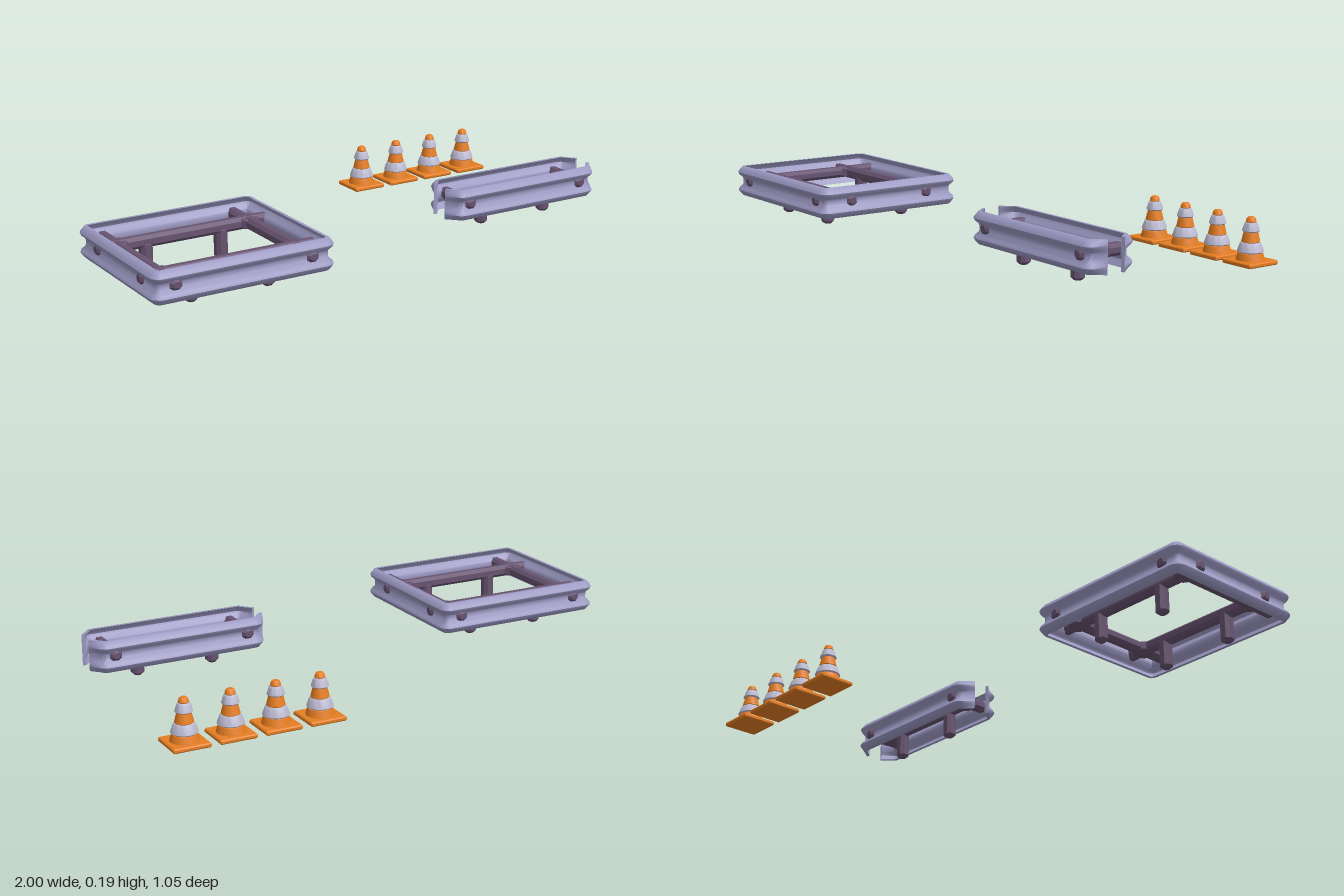
import * as THREE from 'three';
import { toCreasedNormals } from 'three/addons/utils/BufferGeometryUtils.js';

const mat = (color) => new THREE.MeshStandardMaterial({ color });

function addMesh(parent, geometry, material, name, x = 0, y = 0, z = 0) {
  const mesh = new THREE.Mesh(geometry, material);
  mesh.name = name;
  mesh.position.set(x, y, z);
  parent.add(mesh);
  return mesh;
}

// Bar with chamfered edges and ends, centred, running along 'x', 'y' or 'z'
function bar(w, h, length, axis, chamfer = 0.012, bevel = 0.01) {
  const a = w / 2, b = h / 2, c = chamfer;
  const shape = new THREE.Shape([
    [a, -b + c], [a, b - c], [a - c, b], [-a + c, b],
    [-a, b - c], [-a, -b + c], [-a + c, -b], [a - c, -b],
  ].map(([x, y]) => new THREE.Vector2(x, y)));
  const geo = new THREE.ExtrudeGeometry(shape, {
    depth: length - 2 * bevel, bevelEnabled: true, bevelSegments: 1,
    bevelSize: bevel, bevelThickness: bevel, bevelOffset: -bevel,
  });
  geo.translate(0, 0, bevel - length / 2);
  if (axis === 'x') geo.rotateY(Math.PI / 2);
  if (axis === 'y') geo.rotateX(-Math.PI / 2);
  return geo;
}

// Corrugated rail section: [inset from the outer face, height]
const OUTER = [
  [0.017, 0.185], [0.004, 0.17], [0, 0.163], [0.004, 0.154], [0.017, 0.143], [0.02, 0.136],
  [0.02, 0.119], [0.017, 0.112], [0.004, 0.101], [0, 0.092], [0.004, 0.085], [0.017, 0.07],
];
const THICK = 0.012;

// Sweeps the section along path stations {x, z, a: outward angle, flat}
function sweepRail(path, closed) {
  const n = OUTER.length, m = n * 2, pos = [], idx = [];
  for (const { x, z, a, flat = 0 } of path) {
    for (let j = 0; j < m; j++) {
      const [d, y] = OUTER[j < n ? j : m - 1 - j];
      const inset = d * (1 - flat) + (j < n ? 0 : THICK);
      pos.push(x - Math.cos(a) * inset, y, z - Math.sin(a) * inset);
    }
  }
  const count = path.length;
  for (let i = 0; i < (closed ? count : count - 1); i++) {
    const p = i * m, q = ((i + 1) % count) * m;
    for (let j = 0; j < m; j++) {
      const k = (j + 1) % m;
      idx.push(p + j, q + j, q + k, p + j, q + k, p + k);
    }
  }
  if (!closed) {
    const e = (count - 1) * m;
    for (let j = 0; j < n - 1; j++) {
      const k = j + 1, ij = m - 1 - j, ik = m - 1 - k;
      idx.push(j, k, ik, j, ik, ij);
      idx.push(e + j, e + ik, e + k, e + j, e + ij, e + ik);
    }
  }
  const geo = new THREE.BufferGeometry();
  geo.setAttribute('position', new THREE.Float32BufferAttribute(pos, 3));
  geo.setIndex(idx);
  return toCreasedNormals(geo, 0.9);
}

// Stations round a corner
function arc(cx, cz, r, from, to, steps = 5) {
  return Array.from({ length: steps + 1 }, (_, i) => {
    const a = from + (to - from) * i / steps;
    return { x: cx + r * Math.cos(a), z: cz + r * Math.sin(a), a };
  });
}

// Closed rectangular rail
function ringRail(hx, hz, r) {
  const path = [];
  [[1, 1], [-1, 1], [-1, -1], [1, -1]].forEach(([sx, sz], i) =>
    path.push(...arc(sx * (hx - r), sz * (hz - r), r, i * Math.PI / 2, (i + 1) * Math.PI / 2)));
  return sweepRail(path, true);
}

// Straight rail with ends folded back and flattened at the tips
function foldedRail(hx, hz) {
  const r = 0.04, a0 = 0.38, run = 0.045;
  const cx = hx - r * Math.cos(a0) - run * Math.sin(a0), cz = hz - r;
  const right = arc(cx, cz, r, a0, Math.PI / 2);
  const s = right[0];
  right.unshift({ x: s.x + run * Math.sin(a0), z: s.z - run * Math.cos(a0), a: a0, flat: 1 });
  const left = right.map((p) => ({ ...p, x: -p.x, a: Math.PI - p.a })).reverse();
  return sweepRail([...right, ...left], false);
}

export function createModel() {
  const root = new THREE.Group();
  root.name = 'roadBarriers';
  const railMat = mat(0x9d9ac4), beamMat = mat(0x66526f);
  const orange = mat(0xe67e22), pale = mat(0xb9b8cf);
  const W = 0.045, H = 0.042, Y = 0.13;
  const beamX = 0.257, postX = 0.147;

  const post = bar(W, W, 0.115, 'y');
  const gusset = bar(0.068, 0.068, 0.036, 'y', 0.0115, 0.004);

  // Square barrier
  const square = new THREE.Group();
  square.name = 'squareBarrier';
  square.position.set(-0.655, 0, 0.221);
  root.add(square);
  addMesh(square, ringRail(0.345, 0.301, 0.038), railMat, 'ringRail');
  for (const s of [-1, 1]) {
    addMesh(square, bar(W, H, 0.584, 'z'), beamMat, 'crossBeam', s * beamX, Y, 0);
    addMesh(square, bar(H, W, 0.672, 'x'), beamMat, 'longBeam', 0, Y, s * 0.167);
    for (const t of [-1, 1]) {
      addMesh(square, gusset, beamMat, 'gusset', s * beamX, Y, t * 0.167);
      addMesh(square, post, beamMat, 'post', s * postX, 0.0725, t * 0.167);
    }
  }

  // Narrow barrier with two folded rails
  const narrow = new THREE.Group();
  narrow.name = 'narrowBarrier';
  narrow.position.set(0.66, 0, 0.221);
  root.add(narrow);
  const folded = foldedRail(0.34, 0.102);
  addMesh(narrow, folded, railMat, 'frontRail');
  addMesh(narrow, folded, railMat, 'backRail').rotation.y = Math.PI;
  addMesh(narrow, bar(H, W, 2 * beamX, 'x'), beamMat, 'longBeam', 0, Y, 0);
  for (const s of [-1, 1]) {
    addMesh(narrow, bar(W, H, 0.188, 'z'), beamMat, 'crossBeam', s * beamX, Y, 0);
    addMesh(narrow, gusset, beamMat, 'gusset', s * (beamX - 0.0115), Y, 0);
    addMesh(narrow, post, beamMat, 'post', s * postX, 0.0725, 0);
  }

  // Traffic cones: stacked bands of [bottom y, bottom radius, top y, top radius]
  const bands = [
    [0.012, 0.051, 0.044, 0.043, orange], [0.042, 0.047, 0.078, 0.036, pale],
    [0.076, 0.033, 0.117, 0.024, orange], [0.114, 0.031, 0.147, 0.022, pale],
    [0.145, 0.019, 0.166, 0.014, orange],
  ].map(([y0, r0, y1, r1, m]) => {
    const c = 0.004;
    const pts = [[0, y0], [r0 - c, y0], [r0, y0 + c], [r1 + 0.001, y1 - c], [r1 - c, y1], [0, y1]];
    const geo = new THREE.LatheGeometry(pts.map(([r, y]) => new THREE.Vector2(r, y)), 20);
    return [toCreasedNormals(geo, 0.6), m];
  });
  const base = bar(0.136, 0.136, 0.016, 'y', 0.003, 0.004);
  for (let i = 0; i < 4; i++) {
    const cone = new THREE.Group();
    cone.name = 'trafficCone';
    cone.position.set(0.415 + i * 0.1665, 0, -0.457);
    root.add(cone);
    addMesh(cone, base, orange, 'coneBase', 0, 0.008, 0);
    bands.forEach(([geo, m]) => addMesh(cone, geo, m, m === pale ? 'reflectiveBand' : 'coneBody'));
  }
  return root;
}
